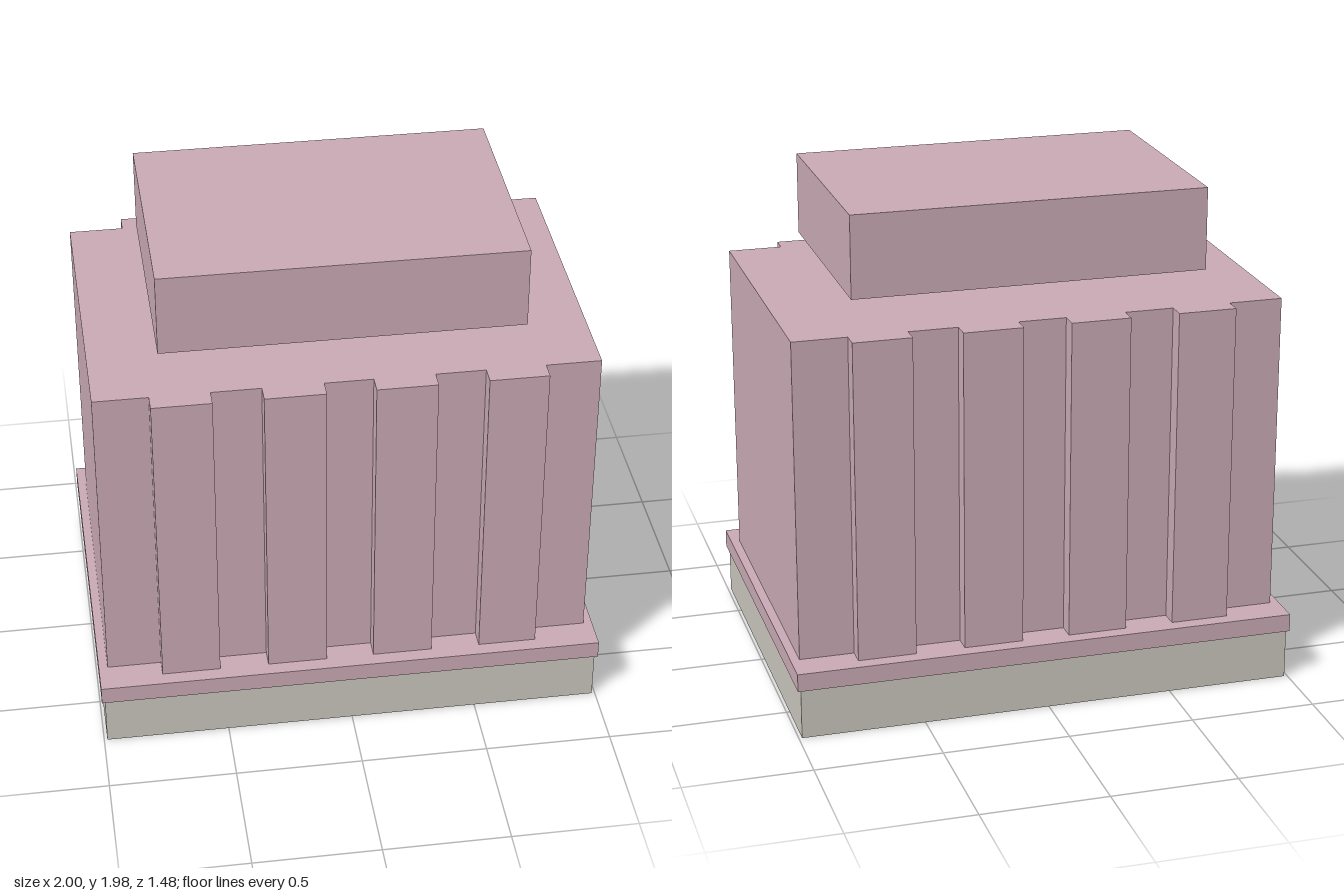
import * as THREE from 'three';

export function createModel() {
  const model = new THREE.Group();
  model.name = 'building';

  const pink = new THREE.MeshStandardMaterial({ color: 0xc9a9b4 });
  pink.name = 'dusty pink';
  const stone = new THREE.MeshStandardMaterial({ color: 0xc8c5bc });
  stone.name = 'pale stone';

  function add(name, geometry, material) {
    const mesh = new THREE.Mesh(geometry, material);
    mesh.name = name;
    model.add(mesh);
  }

  // Box given by its footprint and its bottom and top heights
  function slab(name, width, depth, bottom, top, material) {
    const geometry = new THREE.BoxGeometry(width, top - bottom, depth);
    geometry.translate(0, (bottom + top) / 2, 0);
    add(name, geometry, material);
  }

  // Foundation and the ledge that overhangs it
  slab('foundation', 1.975, 1.465, 0, 0.2, stone);
  slab('ledge', 2, 1.48, 0.2, 0.272, pink);

  // Main body: a rectangle with four piers along the front and the back
  const halfWidth = 0.965, wall = 0.61, pier = 0.682;
  const piers = [[-0.752, -0.522], [-0.33, -0.095], [0.092, 0.327], [0.52, 0.75]];
  const edge = [[-halfWidth, wall]];
  for (const [a, b] of piers) edge.push([a, wall], [a, pier], [b, pier], [b, wall]);
  edge.push([halfWidth, wall]);
  const back = edge.map(([x, z]) => [x, -z]).reverse();
  const outline = new THREE.Shape([...edge, ...back].map(([x, z]) => new THREE.Vector2(x, z)));
  const body = new THREE.ExtrudeGeometry(outline, { depth: 1.555 - 0.272, bevelEnabled: false });
  body.rotateX(-Math.PI / 2);
  body.translate(0, 0.272, 0);
  add('pieredBody', body, pink);

  // Roof block, raised clear of the body
  slab('roofBlock', 1.406, 0.94, 1.652, 1.98, pink);

  return model;
}
